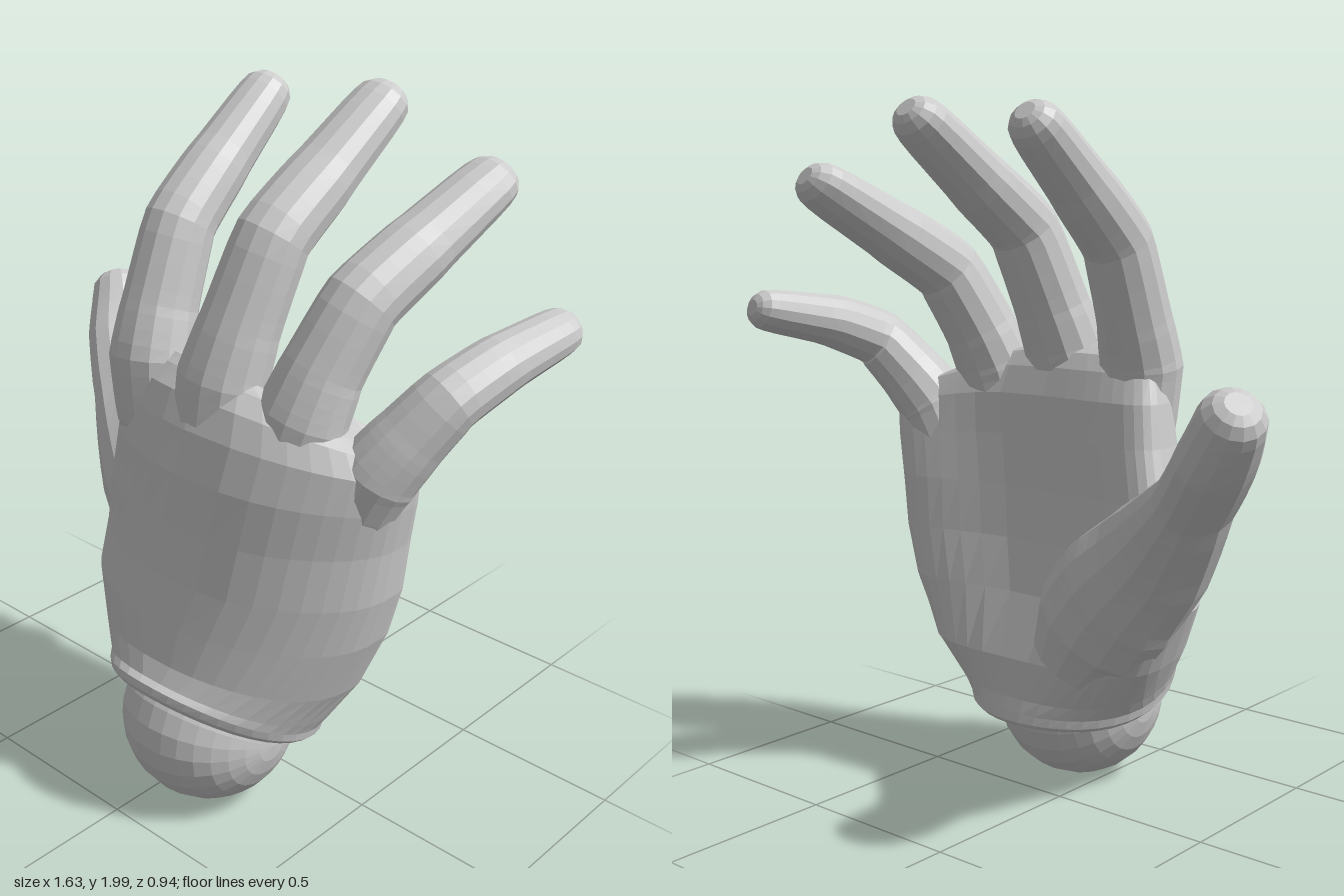
import * as THREE from 'three';

const material = new THREE.MeshStandardMaterial({ color: 0xcccccc, flatShading: true });

// Skin a list of closed rings and close both ends with a fan
function loft(name, rings) {
  const n = rings[0].length, pos = [], idx = [];
  rings.forEach(r => r.forEach(p => pos.push(p.x, p.y, p.z)));
  for (let i = 0; i < rings.length - 1; i++) {
    for (let j = 0; j < n; j++) {
      const a = i * n + j, b = i * n + (j + 1) % n;
      idx.push(a, b, b + n, a, b + n, a + n);
    }
  }
  for (const row of [0, rings.length - 1]) {
    const c = rings[row].reduce((s, p) => s.add(p), new THREE.Vector3()).divideScalar(n);
    const k = pos.length / 3;
    pos.push(c.x, c.y, c.z);
    for (let j = 0; j < n; j++) {
      const a = row * n + j, b = row * n + (j + 1) % n;
      idx.push(...(row === 0 ? [b, a, k] : [a, b, k]));
    }
  }
  const geo = new THREE.BufferGeometry();
  geo.setAttribute('position', new THREE.Float32BufferAttribute(pos, 3));
  geo.setIndex(idx);
  geo.computeVertexNormals();
  const mesh = new THREE.Mesh(geo, material);
  mesh.name = name;
  return mesh;
}

// Finger: stations are [x, y, z, half width, half depth], ending in a blunt rounded tip
function finger(name, stations, sideways, tension) {
  const points = stations.map(s => new THREE.Vector3(s[0], s[1], s[2]));
  const curve = new THREE.CatmullRomCurve3(points, false, 'catmullrom', tension);
  const sides = 14, steps = (stations.length - 1) * 4, rings = [];
  const ring = (centre, tangent, w, d) => {
    const s = sideways.clone().addScaledVector(tangent, -sideways.dot(tangent)).normalize();
    const up = tangent.clone().cross(s);
    rings.push(Array.from({ length: sides }, (_, j) => {
      const a = (j / sides) * Math.PI * 2;
      return centre.clone().addScaledVector(s, w * Math.cos(a)).addScaledVector(up, d * Math.sin(a));
    }));
  };
  for (let i = 0; i <= steps; i++) {
    const t = i / steps, f = t * (stations.length - 1);
    const k = Math.min(Math.floor(f), stations.length - 2);
    const mix = c => THREE.MathUtils.lerp(stations[k][c], stations[k + 1][c], f - k);
    ring(curve.getPoint(t), curve.getTangent(t), mix(3), mix(4));
  }
  const end = curve.getPoint(1), tan = curve.getTangent(1);
  const [, , , w, d] = stations[stations.length - 1];
  for (const a of [0.45, 0.9, 1.25]) {
    const c = Math.cos(a) ** 0.8;
    ring(end.clone().addScaledVector(tan, w * 0.85 * Math.sin(a)), tan, w * c, d * c);
  }
  return loft(name, rings);
}

// Arched palm section; slant follows the wrist opening, drop lowers the little-finger side,
// full below 1 squares the edges
function palmRing({ y, cx, w, cz, d, left = 0, right = 0, slant = 0, drop = 0, full = 0.68 }) {
  const n = 40, power = v => Math.sign(v) * Math.abs(v) ** full;
  return Array.from({ length: n }, (_, j) => {
    const a = ((j + 0.5) / n) * Math.PI * 2, u = power(Math.cos(a));
    const z = cz - d * power(Math.sin(a)) - (u > 0 ? right : left) * u * u;
    const tilt = 0.2 * Math.max(0, (z + 0.1) / 0.57) ** 2;
    return new THREE.Vector3(cx + w * u, y + slant * tilt - (u > 0 ? drop * u * u : 0), z);
  });
}

export function createModel() {
  const hand = new THREE.Group();
  hand.name = 'glovedHand';

  // Palm, from inside the cuff, over its rolled lip and up to the knuckles
  hand.add(loft('palm', [
    { y: 0.30, cx: 0.10, w: 0.23, cz: 0.19, d: 0.22, slant: 1, full: 1 },
    { y: 0.23, cx: 0.10, w: 0.275, cz: 0.19, d: 0.245, slant: 1, full: 1 },
    { y: 0.222, cx: 0.10, w: 0.305, cz: 0.185, d: 0.275, slant: 1, full: 1 },
    { y: 0.235, cx: 0.10, w: 0.32, cz: 0.185, d: 0.285, slant: 1, full: 1 },
    { y: 0.26, cx: 0.10, w: 0.325, cz: 0.185, d: 0.28, slant: 1, full: 0.96 },
    { y: 0.30, cx: 0.10, w: 0.342, cz: 0.18, d: 0.265, left: 0.02, right: 0.02, slant: 0.9, full: 0.9 },
    { y: 0.42, cx: 0.095, w: 0.4, cz: 0.165, d: 0.255, left: 0.06, right: 0.07, slant: 0.55, full: 0.8 },
    { y: 0.60, cx: 0.085, w: 0.475, cz: 0.185, d: 0.215, left: 0.13, right: 0.13, slant: 0.15, full: 0.72 },
    { y: 0.75, cx: 0.115, w: 0.48, cz: 0.19, d: 0.185, left: 0.13, right: 0.15 },
    { y: 0.90, cx: 0.14, w: 0.47, cz: 0.19, d: 0.165, left: 0.10, right: 0.16 },
    { y: 1.05, cx: 0.17, w: 0.46, cz: 0.19, d: 0.15, left: 0.08, right: 0.16, drop: 0.03 },
    { y: 1.17, cx: 0.185, w: 0.455, cz: 0.18, d: 0.13, left: 0.06, right: 0.15, drop: 0.06 },
    { y: 1.25, cx: 0.175, w: 0.42, cz: 0.175, d: 0.10, left: 0.04, right: 0.13, drop: 0.09 },
    { y: 1.295, cx: 0.16, w: 0.35, cz: 0.165, d: 0.065, left: 0.02, right: 0.09, drop: 0.10 },
    { y: 1.315, cx: 0.13, w: 0.25, cz: 0.165, d: 0.03, right: 0.05, drop: 0.08 },
  ].map(palmRing)));

  // Four curled fingers, each starting slim inside the palm and surfacing at the knuckle
  const across = new THREE.Vector3(1, 0, 0);
  hand.add(finger('indexFinger', [
    [-0.11, 0.92, 0.16, 0.07, 0.06], [-0.14, 1.10, 0.175, 0.115, 0.10], [-0.155, 1.27, 0.17, 0.125, 0.113],
    [-0.165, 1.40, 0.125, 0.108, 0.107], [-0.17, 1.61, 0.04, 0.10, 0.10],
    [-0.17, 1.74, -0.10, 0.092, 0.09], [-0.17, 1.90, -0.29, 0.077, 0.07]], across, 0.2));
  hand.add(finger('middleFinger', [
    [0.10, 0.92, 0.18, 0.07, 0.06], [0.11, 1.12, 0.195, 0.12, 0.112], [0.12, 1.28, 0.178, 0.132, 0.116],
    [0.14, 1.42, 0.135, 0.115, 0.107], [0.17, 1.64, 0.045, 0.105, 0.10],
    [0.185, 1.76, -0.11, 0.10, 0.09], [0.205, 1.92, -0.32, 0.085, 0.07]], across, 0.2));
  hand.add(finger('ringFinger', [
    [0.28, 0.90, 0.15, 0.07, 0.06], [0.325, 1.08, 0.16, 0.115, 0.11], [0.36, 1.23, 0.135, 0.127, 0.114],
    [0.385, 1.35, 0.09, 0.11, 0.107], [0.43, 1.52, 0.0, 0.102, 0.10],
    [0.465, 1.62, -0.16, 0.098, 0.09], [0.51, 1.755, -0.40, 0.083, 0.065]], across.clone().setY(-0.25), 0.2));
  hand.add(finger('littleFinger', [
    [0.44, 0.80, 0.085, 0.06, 0.06], [0.51, 1.00, 0.08, 0.10, 0.10], [0.555, 1.11, 0.065, 0.11, 0.11],
    [0.605, 1.195, 0.025, 0.10, 0.10], [0.675, 1.31, -0.05, 0.087, 0.088],
    [0.715, 1.37, -0.20, 0.08, 0.078], [0.75, 1.41, -0.41, 0.067, 0.058]], across.clone().setY(-0.5), 0.2));

  // Thumb, growing out of the fleshy base of the palm
  hand.add(finger('thumb', [
    [-0.05, 0.43, 0.04, 0.15, 0.15], [-0.12, 0.54, 0.035, 0.20, 0.172],
    [-0.21, 0.65, 0.02, 0.20, 0.168], [-0.35, 0.785, -0.005, 0.165, 0.155],
    [-0.53, 0.965, -0.095, 0.102, 0.125], [-0.65, 1.095, -0.18, 0.098, 0.12],
    [-0.73, 1.20, -0.24, 0.09, 0.09]], new THREE.Vector3(0.75, 0.66, 0), 0.5));

  // Wrist ball seated in the cuff
  const ball = new THREE.Mesh(new THREE.SphereGeometry(0.25, 24, 16), material);
  ball.name = 'wristBall';
  ball.rotation.z = Math.PI / 2;
  ball.position.set(0.1, 0.25, 0.22);
  hand.add(ball);

  return hand;
}
